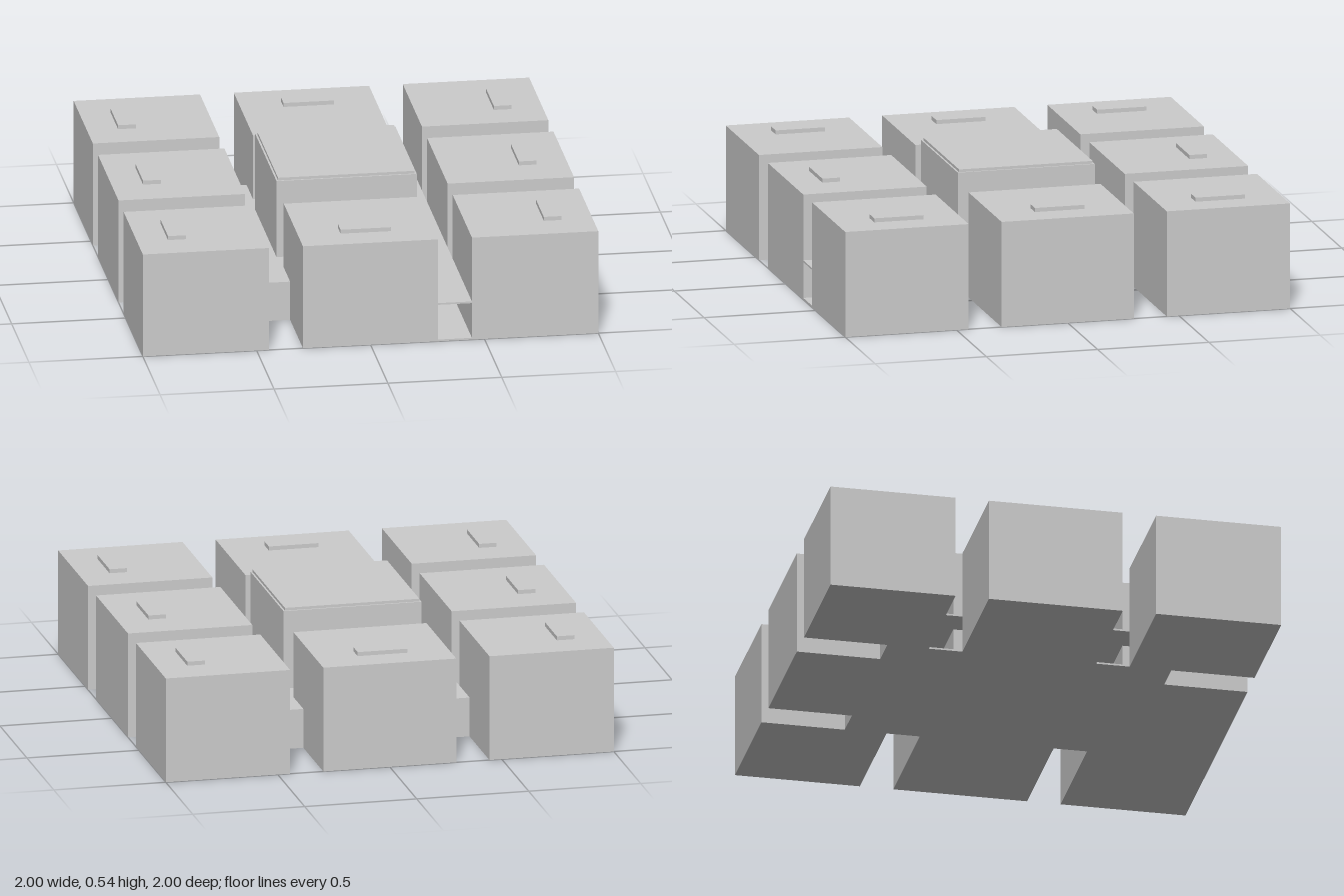
import * as THREE from 'three';

const material = new THREE.MeshStandardMaterial({ color: 0xcccccc, flatShading: true });

// Box given by its lower and upper limits on each axis
function box(parent, name, [x0, x1], [y0, y1], [z0, z1]) {
  const mesh = new THREE.Mesh(new THREE.BoxGeometry(x1 - x0, y1 - y0, z1 - z0), material);
  mesh.position.set((x0 + x1) / 2, (y0 + y1) / 2, (z0 + z1) / 2);
  mesh.name = name;
  parent.add(mesh);
}

export function createModel() {
  const model = new THREE.Group();
  model.name = 'roomComplex';

  const H = 0.47;        // room height
  const IN = 0.297;      // half width of the middle rooms
  const OUT = 0.445;     // inner face of the outer rooms
  const END = 0.63;      // closed ends of the corridors
  const CORE = 0.308;    // half width of the central hall
  const spans = { '-1': [-1, -OUT], 0: [-IN, IN], 1: [OUT, 1] };

  // Eight outer rooms, each with a long roof unit near the outer edge
  for (const i of [-1, 0, 1]) {
    for (const k of [-1, 0, 1]) {
      if (!i && !k) continue;
      const room = new THREE.Group();
      room.name = 'outerRoom';
      box(room, 'roomBlock', spans[i], [0, H], spans[k]);
      const cx = i * 0.825, cz = i ? k * 0.722 : k * 0.825;
      const hx = i ? 0.039 : 0.111, hz = i ? 0.111 : 0.039;
      box(room, 'roofUnit', [cx - hx, cx + hx], [H, 0.488], [cz - hz, cz + hz]);
      model.add(room);
    }
  }

  // Taller central hall with a slightly inset roof slab
  box(model, 'centralHall', [-CORE, CORE], [0, 0.526], [-CORE, CORE]);
  box(model, 'centralRoof', [-0.3, 0.3], [0.526, 0.538], [-0.3, 0.3]);

  // Corridor floors and ceilings; the front left corridor runs out as the entrance
  const corridors = new THREE.Group();
  corridors.name = 'corridors';
  for (const [name, y] of [['corridorFloor', [0, 0.008]], ['corridorCeiling', [0.168, 0.176]]]) {
    box(corridors, name, [-OUT, -IN], y, [-END, END]);
    box(corridors, name, [IN, OUT], y, [-END, 1]);
    box(corridors, name, [-IN, IN], y, [-OUT, -IN]);
    box(corridors, name, [-IN, IN], y, [IN, OUT]);
  }

  // Walls closing the other three corridor ends
  const wall = [0.008, 0.168], t = 0.006;
  box(corridors, 'corridorEndWall', [-OUT, -IN], wall, [END - t, END]);
  box(corridors, 'corridorEndWall', [-OUT, -IN], wall, [-END, -END + t]);
  box(corridors, 'corridorEndWall', [IN, OUT], wall, [-END, -END + t]);
  model.add(corridors);

  return model;
}
